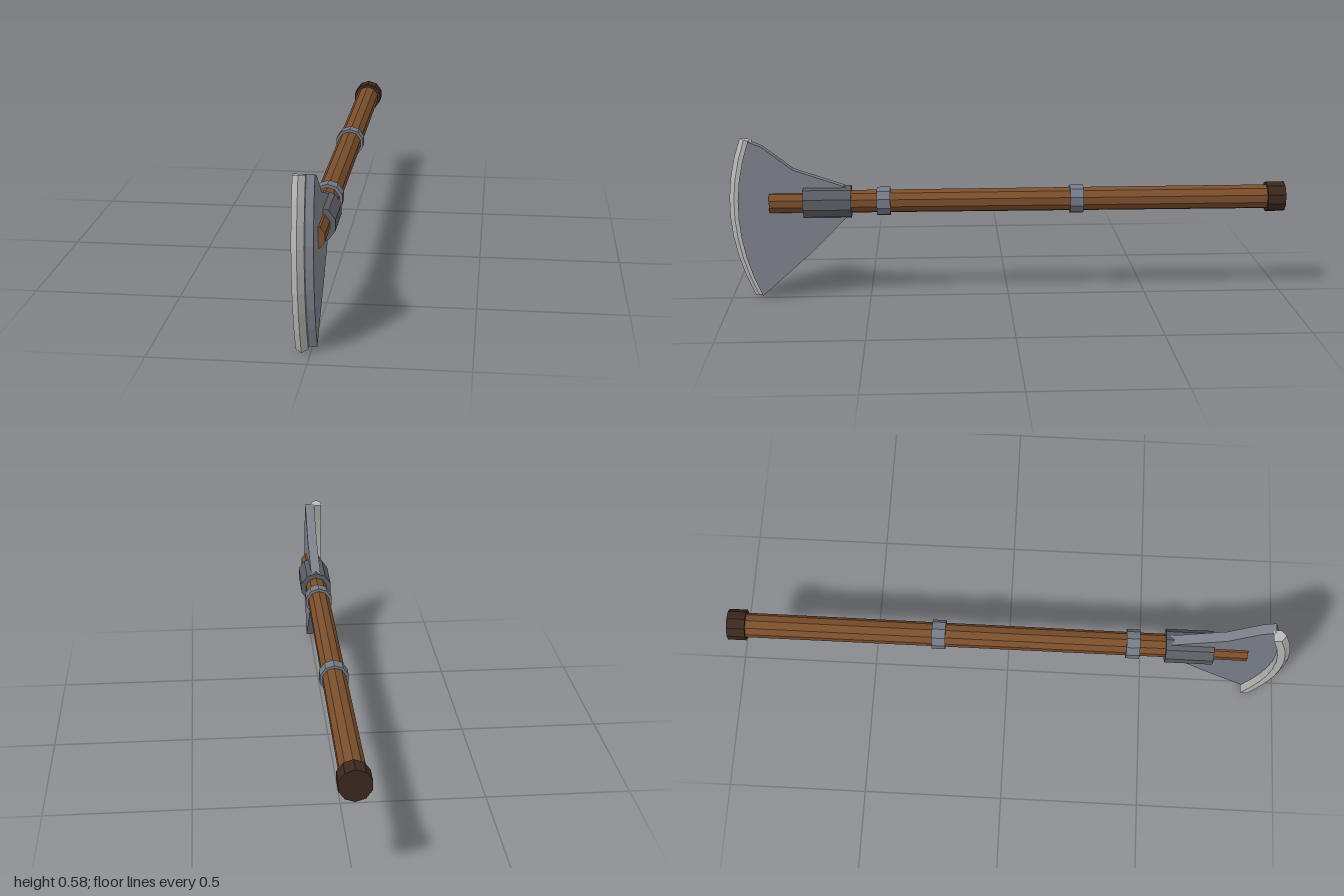
import * as THREE from 'three';

const AXIS_Y = 0.356;

const paint = (color) => new THREE.MeshStandardMaterial({ color, flatShading: true, roughness: 0.8 });
const wood = paint(0x7a4e2c);
const darkWood = paint(0x3a281e);
const darkIron = paint(0x5a5d64);
const iron = paint(0x747a84);
const steel = paint(0x7c808a);
const brightSteel = paint(0xb8b8b6);

// Ten-sided bar lying along z, from zBack to zFront
function bar(name, rBack, rFront, zBack, zFront, material) {
  const geo = new THREE.CylinderGeometry(rFront, rBack, zFront - zBack, 10);
  geo.rotateX(Math.PI / 2);
  const mesh = new THREE.Mesh(geo, material);
  mesh.name = name;
  mesh.position.set(0, AXIS_Y, (zBack + zFront) / 2);
  return mesh;
}

// Bowed front line of the blade: z at height y for a given furthest reach
const bow = (reach, y) => reach - 0.73 * (y - 0.335) ** 2;
const SEGMENTS = 8;

function bladePlate() {
  const points = [];
  for (let i = 0; i <= SEGMENTS; i++) {
    const y = 0.012 + (0.567 * i) / SEGMENTS;
    points.push(new THREE.Vector2(bow(0.965, y), y));
  }
  // Back outline, from the top horn through the neck to the lower tip
  [[0.875, 0.56], [0.767, 0.476], [0.575, 0.41], [0.575, 0.305], [0.714, 0.166]]
    .forEach(([z, y]) => points.push(new THREE.Vector2(z, y)));
  const geo = new THREE.ExtrudeGeometry(new THREE.Shape(points), { depth: 0.036, bevelEnabled: false });
  geo.rotateY(-Math.PI / 2);
  geo.translate(0.018, 0, 0);
  const mesh = new THREE.Mesh(geo, steel);
  mesh.name = 'bladePlate';
  return mesh;
}

// Ridged strip swept along the bowed front of the blade
function cuttingEdge() {
  // x, forward reach, bottom height, top height
  const profile = [
    [-0.008, 0.982, 0.009, 0.58],
    [-0.008, 0.955, 0.013, 0.576],
    [-0.048, 0.955, 0.013, 0.576],
    [-0.048, 0.982, 0.009, 0.58],
    [-0.028, 1.0, 0.001, 0.585],
  ];
  const n = profile.length;
  const positions = [];
  const index = [];
  for (let i = 0; i <= SEGMENTS; i++) {
    for (const [x, reach, low, high] of profile) {
      const y = low + ((high - low) * i) / SEGMENTS;
      positions.push(x, y, bow(reach, y));
    }
  }
  for (let i = 0; i < SEGMENTS; i++) {
    for (let j = 0; j < n; j++) {
      const a = i * n + j;
      const b = i * n + ((j + 1) % n);
      index.push(a, b, b + n, a, b + n, a + n);
    }
  }
  const top = SEGMENTS * n;
  for (let j = 1; j < n - 1; j++) {
    index.push(0, j + 1, j, top, top + j, top + j + 1);
  }
  const geo = new THREE.BufferGeometry();
  geo.setAttribute('position', new THREE.Float32BufferAttribute(positions, 3));
  geo.setIndex(index);
  geo.computeVertexNormals();
  const mesh = new THREE.Mesh(geo, brightSteel);
  mesh.name = 'cuttingEdge';
  return mesh;
}

export function createModel() {
  const axe = new THREE.Group();
  axe.name = 'axe';

  // Handle with its end cap and binding rings
  axe.add(bar('shaft', 0.044, 0.041, -0.99, 0.853, wood));
  axe.add(bar('pommel', 0.055, 0.055, -1, -0.935, darkWood));
  [['rearRing', -0.245], ['frontRing', 0.447]].forEach(([name, z]) =>
    axe.add(bar(name, 0.052, 0.052, z - 0.024, z + 0.024, iron)));

  // Head
  axe.add(bar('socket', 0.06, 0.06, 0.562, 0.732, darkIron));
  axe.add(bladePlate());
  axe.add(cuttingEdge());
  return axe;
}
